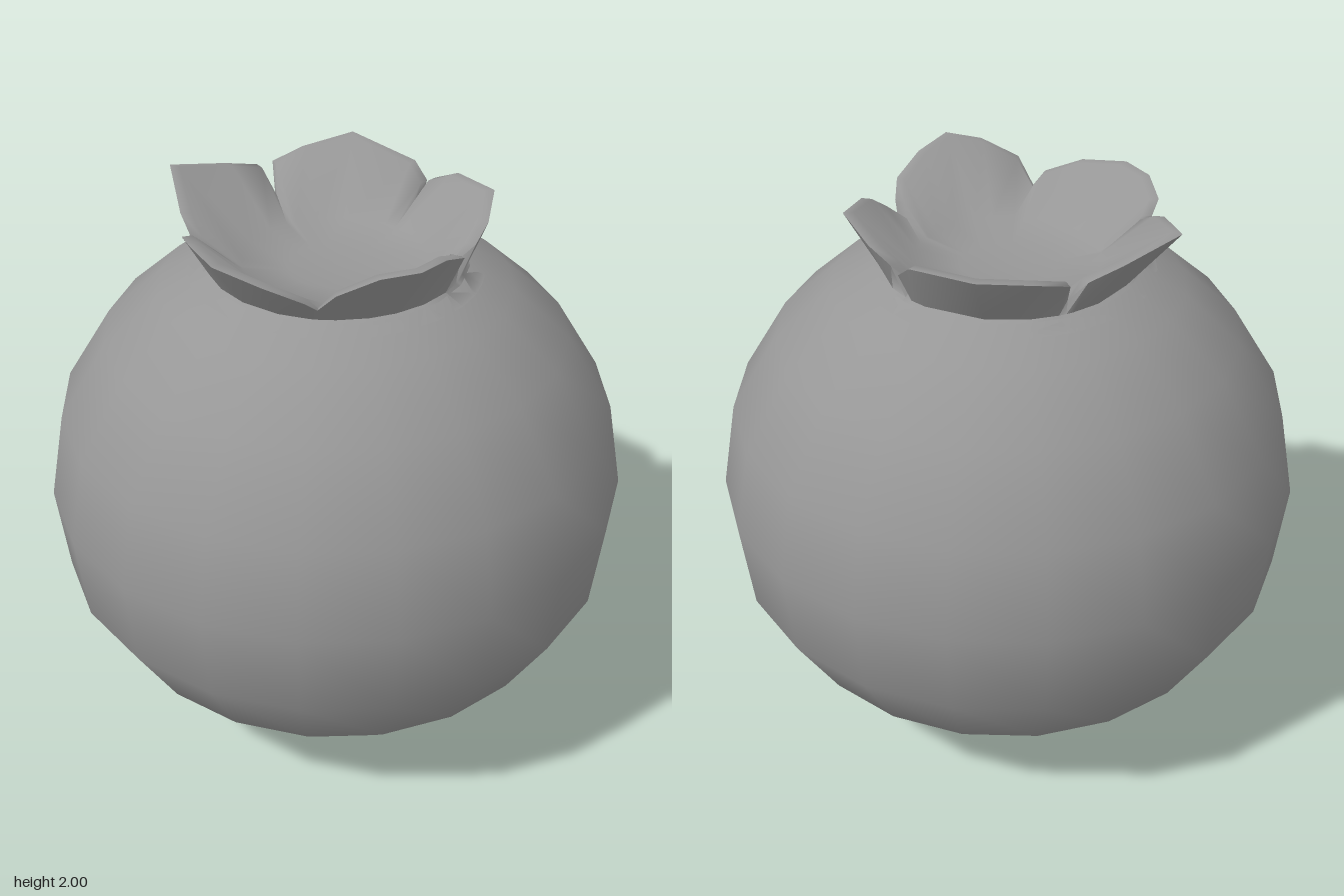
import * as THREE from 'three';
import { toCreasedNormals } from 'three/addons/utils/BufferGeometryUtils.js';

const material = () => new THREE.MeshStandardMaterial({ color: 0x979797, side: THREE.DoubleSide });

// Crown rim, petal by petal, anticlockwise from the front: [x, y, z]; each petal ends in its notch.
const PETALS = {
  front: [[-0.25, 1.91, 0.45], [-0.14, 1.97, 0.52], [-0.03, 1.99, 0.575], [0.1, 1.97, 0.51], [0.21, 1.92, 0.44], [0.25, 1.88, 0.36], [0.24, 1.83, 0.32]],
  left: [[0.325, 1.89, 0.33], [0.39, 1.94, 0.3], [0.505, 1.97, 0.16], [0.5, 1.95, -0.05], [0.46, 1.91, -0.13], [0.39, 1.83, -0.139]],
  backLeft: [[0.45, 1.89, -0.165], [0.44, 1.94, -0.23], [0.33, 1.98, -0.47], [0.15, 1.95, -0.505], [0.03, 1.92, -0.505], [0, 1.83, -0.43]],
  backRight: [[-0.03, 1.92, -0.505], [-0.15, 1.95, -0.505], [-0.365, 2, -0.48], [-0.44, 1.94, -0.24], [-0.445, 1.89, -0.15], [-0.38, 1.83, -0.122]],
  right: [[-0.46, 1.89, -0.13], [-0.5, 1.93, -0.1], [-0.53, 1.96, 0.02], [-0.525, 1.95, 0.17], [-0.43, 1.92, 0.31], [-0.32, 1.87, 0.38], [-0.27, 1.83, 0.37]],
};

// Join closed rings of equal length into one skin.
function skin(rings) {
  const n = rings[0].length;
  const index = [];
  for (let i = 0; i < rings.length - 1; i++) {
    for (let j = 0; j < n; j++) {
      const k = (j + 1) % n;
      const a = i * n + j, b = i * n + k, c = a + n, d = b + n;
      index.push(a, b, d);
      if (i < rings.length - 2) index.push(a, d, c); // last ring is a single point
    }
  }
  const geometry = new THREE.BufferGeometry();
  geometry.setAttribute('position', new THREE.Float32BufferAttribute(rings.flat(2), 3));
  geometry.setIndex(index);
  return toCreasedNormals(geometry, 1.55);
}

export function createModel() {
  const group = new THREE.Group();

  // Round fruit body
  const profile = [
    [0, 0], [0.305, 0.045], [0.585, 0.19], [0.805, 0.4], [0.96, 0.66], [0.995, 0.97],
    [0.94, 1.27], [0.78, 1.53], [0.59, 1.7], [0.44, 1.775],
  ].map(([r, y]) => new THREE.Vector2(r, y));
  const body = new THREE.Mesh(new THREE.LatheGeometry(profile, 20), material());
  body.name = 'fruitBody';
  group.add(body);

  // Crown: skirt blending into the body, outer wall, rim thickness, inner wall and shallow floor
  const rim = Object.values(PETALS).flat();
  const circle = (radius, y) => rim.map(([x, , z]) => {
    const s = radius / Math.hypot(x, z);
    return [x * s, y, z * s];
  });
  // The rim is thinner in the notches
  const inner = rim.map(([x, y, z]) => {
    const s = 1 - (y < 1.85 ? 0.015 : 0.035) / Math.hypot(x, z);
    return [x * s, y, z * s];
  });
  const crown = new THREE.Mesh(
    skin([
      circle(0.49, 1.75), circle(0.425, 1.78), rim, inner,
      circle(0.31, 1.775), circle(0.16, 1.75), circle(0, 1.745),
    ]),
    material(),
  );
  crown.name = 'petalCrown';
  group.add(crown);

  return group;
}
